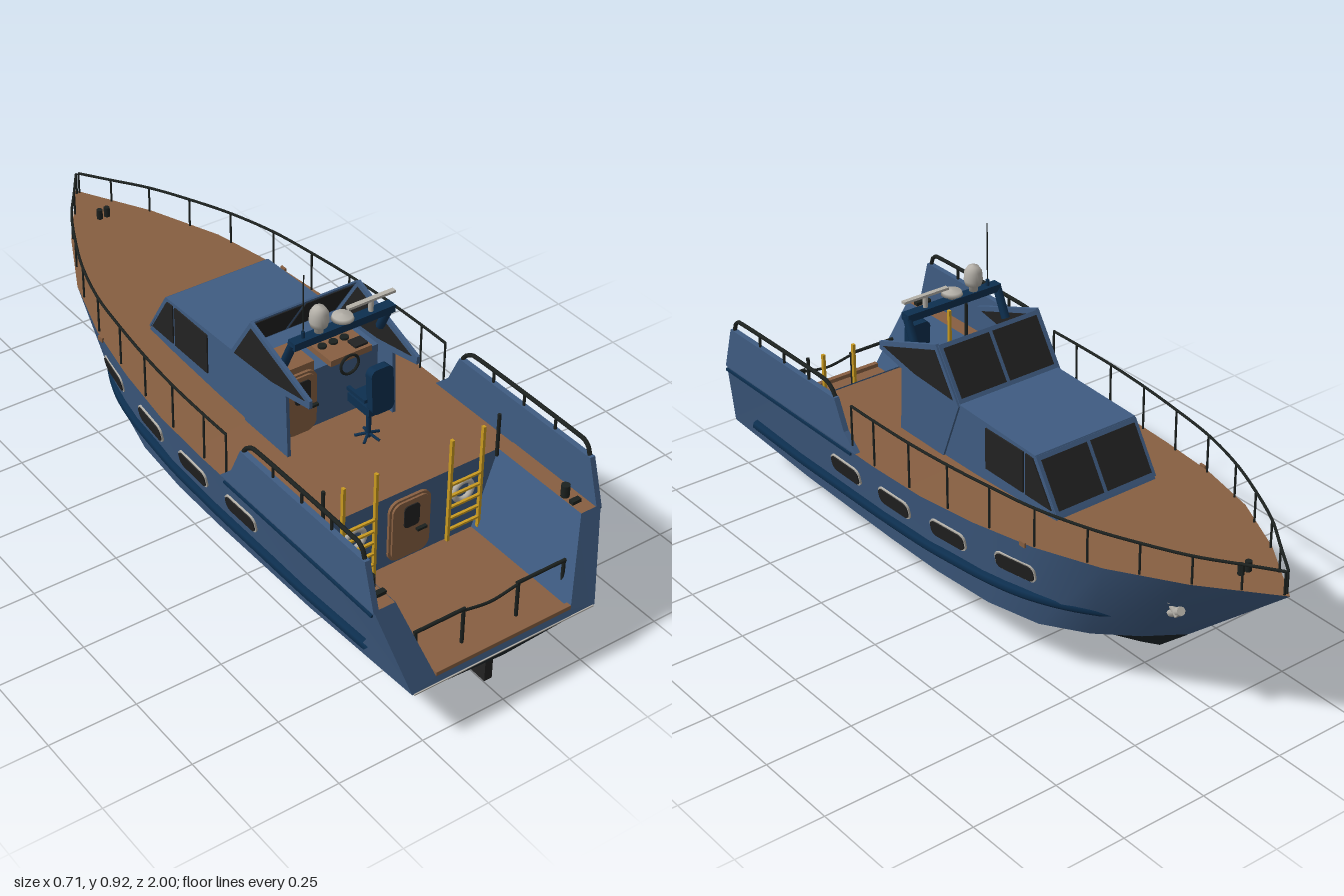
import * as THREE from 'three';

const mat = (name, color) => new THREE.MeshStandardMaterial({ name, color, side: THREE.DoubleSide });
const blue = mat('hull blue', 0x3f5c82), navy = mat('dark blue', 0x0d2f4f), brown = mat('deck brown', 0x875f41);
const bottom = mat('bottom black', 0x1d2529), glass = mat('dark glass', 0x222222), metal = mat('black metal', 0x1c211f);
const yellow = mat('ladder yellow', 0xc99a20), red = mat('propeller red', 0x8a0c12), grey = mat('light grey', 0xb4b0a8);

const V = (x, y, z) => new THREE.Vector3(x, y, z);

// Hull lines from stern to bow: [x, y, z]
const sheer = [[.348, .4, .918], [.35, .396, .6], [.35, .394, .2], [.345, .397, 0], [.325, .406, -.2], [.293, .42, -.4], [.235, .436, -.6], [.135, .451, -.8], [0, .466, -1]];
const chine = [[.285, .163, .995], [.298, .157, .6], [.3, .152, .2], [.295, .148, 0], [.278, .146, -.2], [.24, .148, -.36], [.17, .153, -.48], [.085, .162, -.58], [0, .175, -.66]];
const keel = [[0, .14, .99], [0, .09, .6], [0, .055, .2], [0, .04, 0], [0, .032, -.2], [0, .036, -.36], [0, .055, -.48], [0, .085, -.555], [0, .17, -.655]];

// Value of a hull line at a given z
function at(line, z) {
  let i = 0;
  while (i < line.length - 2 && z < line[i + 1][2]) i++;
  const a = line[i], b = line[i + 1];
  const t = Math.min(1, Math.max(0, (z - a[2]) / (b[2] - a[2])));
  return [a[0] + (b[0] - a[0]) * t, a[1] + (b[1] - a[1]) * t];
}
function hullX(z, y) {
  const [sx, sy] = at(sheer, z), [cx, cy] = at(chine, z);
  return cx + (sx - cx) * (y - cy) / (sy - cy);
}

export function createModel() {
  const root = new THREE.Group();
  const add = (name, geo, m, parent = root) => {
    const mesh = new THREE.Mesh(geo, m);
    mesh.name = name;
    parent.add(mesh);
    return mesh;
  };
  const box = (name, m, x0, x1, y0, y1, z0, z1) =>
    add(name, new THREE.BoxGeometry(x1 - x0, y1 - y0, z1 - z0).translate((x0 + x1) / 2, (y0 + y1) / 2, (z0 + z1) / 2), m);
  // Surface through equal-length rows of [x, y, z]
  const loft = (name, m, rows) => {
    const n = rows[0].length, idx = [];
    for (let r = 0; r < rows.length - 1; r++) for (let i = 0; i < n - 1; i++) {
      const a = r * n + i;
      idx.push(a, a + 1, a + n, a + 1, a + n + 1, a + n);
    }
    const g = new THREE.BufferGeometry();
    g.setAttribute('position', new THREE.Float32BufferAttribute(rows.flat(2), 3));
    g.setIndex(idx);
    g.computeVertexNormals();
    return add(name, g, m);
  };
  // Profile of [z, y] points extruded along x
  const side = (name, m, pts, x0, depth) => {
    const s = new THREE.Shape(pts.map(([z, y]) => new THREE.Vector2(-z, y)));
    return add(name, new THREE.ExtrudeGeometry(s, { depth, bevelEnabled: false }).rotateY(Math.PI / 2).translate(x0, 0, 0), m);
  };
  // Round bar between two points
  const bar = (name, m, a, b, r = .004) => {
    const p = V(...a), q = V(...b);
    const mesh = add(name, new THREE.CylinderGeometry(r, r, p.distanceTo(q), 8), m);
    mesh.position.copy(p).lerp(q, .5);
    mesh.quaternion.setFromUnitVectors(V(0, 1, 0), q.sub(p).normalize());
    return mesh;
  };
  const tube = (name, m, pts, r, tension = .5) =>
    add(name, new THREE.TubeGeometry(new THREE.CatmullRomCurve3(pts.map(p => V(...p)), false, 'catmullrom', tension), 48, r, 7), m);
  const flip = (line, s) => line.map(([x, y, z]) => [x * s, y, z]);
  const rounded = (w, h, r) => {
    const s = new THREE.Shape();
    s.absarc(w / 2 - r, h / 2 - r, r, 0, Math.PI / 2);
    s.absarc(r - w / 2, h / 2 - r, r, Math.PI / 2, Math.PI);
    s.absarc(r - w / 2, r - h / 2, r, Math.PI, Math.PI * 1.5);
    s.absarc(w / 2 - r, r - h / 2, r, Math.PI * 1.5, Math.PI * 2);
    return s;
  };
  const plate = (w, h, r, d) => new THREE.ExtrudeGeometry(rounded(w, h, r), { depth: d, bevelEnabled: false });

  // Decks, transom and cockpit
  loft('mainDeck', brown, [sheer.slice(1), flip(sheer.slice(1), -1)]);
  loft('cockpitFloor', brown, [[[-.21, .18, .99], [.21, .18, .99]], [[-.215, .18, .6], [.215, .18, .6]]]);
  box('sternStep', brown, -.21, .21, .178, .192, .975, .99);
  loft('cockpitBulkhead', blue, [[[-.285, .4, .6], [.285, .4, .6]], [[-.21, .17, .6], [.21, .17, .6]]]);
  loft('transom', blue, [[[-.21, .18, .99], [.21, .18, .99]], [[-.285, .163, .995], [.285, .163, .995]]]);
  loft('transomBottom', bottom, [[[-.285, .163, .995], [0, .163, .995], [.285, .163, .995]], [[-.19, .155, .993], [0, .14, .99], [.19, .155, .993]]]);
  box('waterlineTrim', grey, -.28, .28, .161, .164, .992, .998);

  for (const s of [1, -1]) {
    // Hull skin
    const c = flip(chine, s), k = flip(keel, s);
    const bilge = c.map((p, i) => [p[0] * .68, k[i][1] + (p[1] - k[i][1]) * .78, (p[2] + k[i][2]) / 2]);
    loft('hullSide', blue, [flip(sheer, s), c]);
    loft('hullBottom', bottom, [c, bilge, k]);
    // Stern corner, cockpit wall and side ledge
    loft('sternCorner', blue, [[[s * .348, .4, .918], [s * .285, .4, .918]], [[s * .285, .163, .995], [s * .21, .18, .99]]]);
    loft('cockpitWall', blue, [[[s * .285, .4, .918], [s * .285, .4, .6]], [[s * .21, .18, .99], [s * .21, .18, .6]]]);
    loft('sideLedge', brown, [[[s * .285, .398, .918], [s * .285, .398, .6]], [[s * .348, .398, .918], [s * .348, .398, .6]]]);
    // Raised bulwark with hand rail
    side('bulwark', blue, [[.28, .394], [.33, .44], [.37, .525], [.88, .525], [.92, .394]], s * .342 - .008, .016);
    box('bulwarkSeam', navy, s * .351 - .003, s * .351 + .003, .382, .389, .3, .915);
    tube('bulwarkRail', metal, [[s * .342, .525, .87], [s * .342, .553, .855], [s * .342, .56, .8], [s * .342, .56, .46], [s * .342, .55, .4], [s * .342, .525, .375]], .006);
    for (const z of [.5, .62, .74]) bar('bulwarkRailPost', metal, [s * .342, .52, z], [s * .342, .56, z]);
    bar('gatePost', metal, [s * .272, .39, .61], [s * .272, .52, .61], .005);
    add('bollard', new THREE.CylinderGeometry(.012, .012, .035, 12).translate(s * .3, .415, .84), metal);
    box('mooringCleat', metal, s * .3 - .014, s * .3 + .014, .402, .412, .87, .885);
    // Rubbing strake
    const strake = [];
    for (let i = 0; i <= 12; i++) {
      const z = .84 - i * .1175, y = .222 + .03 * (i / 12) ** 2;
      strake.push([s * (hullX(z, y) + .002), y, z]);
    }
    tube('rubbingStrake', navy, strake, .016);
    // Portholes lying on the hull skin
    for (const [z, y] of [[.35, .31], [.13, .31], [-.09, .315], [-.325, .324]]) {
      const g = new THREE.Group();
      g.name = 'porthole';
      const e = .03, x = hullX(z, y);
      const dy = (hullX(z, y + e) - hullX(z, y - e)) / (2 * e), dz = (hullX(z + e, y) - hullX(z - e, y)) / (2 * e);
      g.position.set(s * x, y, z);
      g.lookAt(s * (x + 1), y - dy, z - dz);
      add('portholeFrame', plate(.132, .056, .02, .005), grey, g);
      add('portholeGlass', plate(.124, .048, .018, .008), glass, g);
      root.add(g);
    }
    // Anchor
    bar('anchorShank', grey, [s * .105, .35, -.69], [s * .108, .315, -.735], .01);
    bar('anchorFluke', grey, [s * .108, .335, -.745], [s * .1, .305, -.7], .012);
    bar('anchorStock', grey, [s * .12, .355, -.715], [s * .11, .335, -.67], .008);
    // Bow rail
    const rail = [.3, .2, .05, -.1, -.25, -.4, -.55, -.68, -.8, -.9, -.985].map(z => [s * (at(sheer, z)[0] - .006), .53, z]);
    tube('bowRail', metal, rail, .004);
    for (const [x, y, z] of rail) bar('bowRailPost', metal, [x, at(sheer, z)[1], z], [x, y, z], .003);
    box('deckEdge', brown, s * .3 - .003, s * .3 + .003, .41, .424, -.38, -.36);

    // Ladder and life ring
    for (const x of [.117, .217]) box('ladderRail', yellow, s * x - .004, s * x + .004, .19, .51, .612, .622);
    for (let i = 0; i < 5; i++) box('ladderRung', yellow, s * .167 - .05, s * .167 + .05, .22 + i * .036, .226 + i * .036, .613, .621);
    add('lifeRing', new THREE.TorusGeometry(.029, .008, 8, 24).translate(s * .17, .322, .606), grey);
    // Stern gate
    for (const x of [.085, .23]) bar('gateStanchion', metal, [s * x, .18, .93], [s * x, .287, .93], .005);
    bar('gateTopRail', metal, [s * .08, .286, .93], [s * .235, .286, .93], .005);

    // Cabin side glass
    const px = s * .166 - .003;
    side('cabinSideGlass', glass, [[-.05, .557], [-.205, .557], [-.205, .437], [-.05, .437]], px, .006);
    side('cabinCornerGlass', glass, [[-.215, .557], [-.243, .555], [-.318, .437], [-.215, .437]], px, .006);
    // Bridge wall and side screen
    side('bridgeWall', blue, [[.13, .395], [.32, .395], [.31, .58], [.41, .6], [.41, .622], [.155, .715], [.06, .57]], s * .166 - .005, .01);
    side('bridgeSideGlass', glass, [[.39, .615], [.158, .698], [.083, .582], [.25, .59]], s * .166 - .007, .014);
    // Radar arch leg
    bar('archLeg', navy, [s * .15, .645, .27], [s * .15, .73, .31], .012);
  }
  tube('gateChain', metal, [[-.08, .28, .93], [0, .268, .93], [.08, .28, .93]], .004);

  // Cockpit door
  const door = (name, x, y, w, h, z, winY) => {
    add(name + 'Frame', plate(w + .014, h + .012, .03, .008).translate(x, y, z), brown);
    add(name, plate(w, h, .026, .014).translate(x, y, z), brown);
    add(name + 'Window', plate(.048, .068, .012, .004).translate(x, winY, z + .013), glass);
    box(name + 'Handle', metal, x + .015, x + .045, winY - .054, winY - .047, z + .014, z + .024);
  };
  door('cockpitDoor', 0, .286, .116, .176, .6, .325);

  // Cabin trunk with split windscreen
  side('cabin', blue, [[-.34, .41], [-.25, .565], [.06, .575], [.14, .575], [.14, .39], [-.2, .39]], -.165, .33);
  const screen = (name, z0, y0, z1, y1, t) => {
    const len = Math.hypot(z1 - z0, y1 - y0), g = new THREE.Group();
    g.name = name;
    g.position.set(0, (y0 + y1) / 2, (z0 + z1) / 2);
    g.rotation.x = Math.atan2(z1 - z0, y1 - y0);
    add('screenFrame', new THREE.BoxGeometry(.33, len, t), blue, g);
    for (const s of [1, -1]) add('screenGlass', new THREE.BoxGeometry(.148, len - .024, t + .004).translate(s * .08, 0, 0), glass, g);
    root.add(g);
  };
  screen('cabinWindscreen', -.337, .425, -.252, .562, .005);
  screen('bridgeWindscreen', .063, .575, .152, .712, .005);

  // Helm console and companionway
  box('console', blue, -.165, .165, .395, .572, .13, .25);
  box('companionway', brown, -.135, -.05, .42, .612, .16, .262);
  door('bridgeDoor', -.095, .5, .085, .175, .262, .54);
  box('helmTop', brown, 0, .13, .572, .59, .16, .265);
  for (const x of [.02, .055, .09]) add('helmDial', new THREE.CylinderGeometry(.012, .012, .006, 12).translate(x, .593, .2), metal);
  box('helmScreen', glass, .085, .125, .59, .596, .22, .255);
  add('steeringWheel', new THREE.TorusGeometry(.028, .004, 6, 20).translate(.045, .575, .285), metal);

  // Helm seat
  add('seatBack', plate(.068, .13, .018, .025).rotateX(-.08).translate(.045, .575, .4), navy);
  box('seatCushion', navy, .01, .08, .5, .525, .325, .415);
  for (const x of [.004, .086]) box('seatArm', navy, x - .005, x + .005, .545, .555, .335, .41);
  bar('seatPole', navy, [.045, .4, .37], [.045, .505, .37], .007);
  for (let i = 0; i < 5; i++) bar('seatFoot', navy, [.045, .412, .37], [.045 + .035 * Math.cos(i * 1.257), .402, .37 + .035 * Math.sin(i * 1.257)], .004);

  // Radar arch and its equipment
  box('archBeam', navy, -.155, .155, .716, .737, .295, .325);
  bar('whipAntenna', metal, [-.12, .73, .31], [-.12, .92, .31], .0018);
  bar('antennaBase', navy, [-.12, .73, .31], [-.12, .755, .31], .005);
  const dome = [[0, .735], [.012, .735], [.012, .752], [.022, .756], [.026, .77], [.024, .795], [.015, .809], [0, .813]];
  add('satelliteDome', new THREE.LatheGeometry(dome.map(p => new THREE.Vector2(...p)), 24).translate(-.072, 0, .31), grey);
  const disc = [[0, .735], [.012, .735], [.014, .745], [.03, .748], [.026, .758], [0, .762]];
  add('gpsDisc', new THREE.LatheGeometry(disc.map(p => new THREE.Vector2(...p)), 20).translate(0, 0, .31), grey);
  bar('radarPost', grey, [.088, .73, .31], [.088, .77, .31], .007);
  box('radarScanner', grey, .015, .16, .768, .775, .303, .317);

  // Bow bitts
  for (const x of [-.012, .012]) add('bowBitt', new THREE.CylinderGeometry(.009, .009, .03, 10).translate(x, .468, -.845), metal);

  // Keel fin, rudder and propeller
  side('keelFin', glass, [[.755, .11], [.755, .008], [.3, .02], [-.15, .032], [-.15, .06]], -.015, .03);
  box('rudder', glass, -.012, .012, .02, .107, .83, .94);
  box('rudderShoe', glass, -.015, .015, 0, .01, .73, .83);
  bar('rudderStock', glass, [0, .005, .832], [0, .14, .832], .006);
  bar('propellerHub', red, [0, .058, .75], [0, .058, .81], .011);
  for (let i = 0; i < 4; i++) {
    const g = new THREE.Group();
    g.name = 'propellerBlade';
    g.position.set(0, .058, .785);
    g.rotation.z = i * Math.PI / 2 + .4;
    const blade = add('blade', new THREE.SphereGeometry(1, 12, 8).scale(.017, .022, .003), red, g);
    blade.position.y = .025;
    blade.rotation.y = .6;
    root.add(g);
  }
  return root;
}
